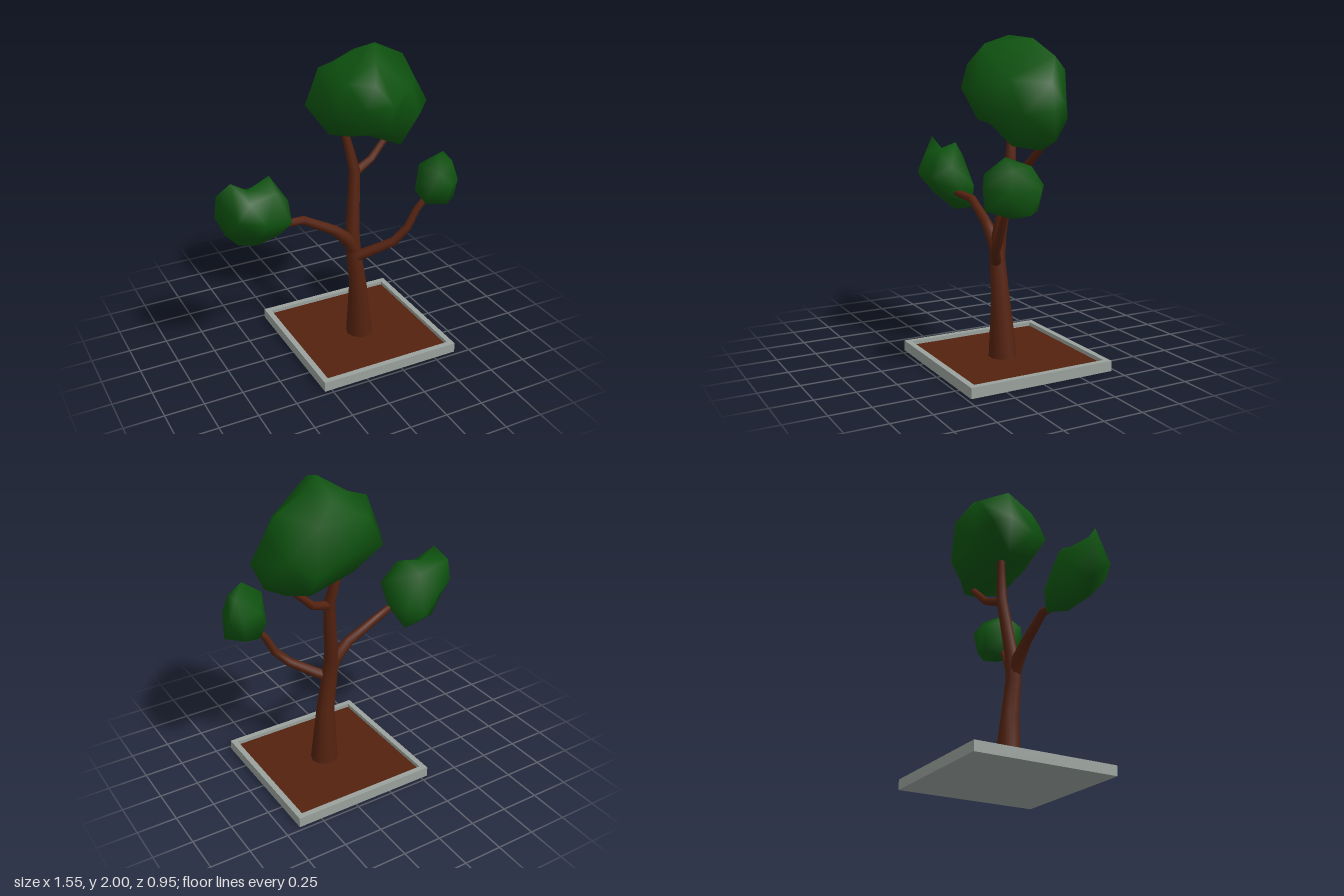
import * as THREE from 'three';
import { mergeVertices } from 'three/addons/utils/BufferGeometryUtils.js';
import { ConvexGeometry } from 'three/addons/geometries/ConvexGeometry.js';

const mat = (name, color) => new THREE.MeshStandardMaterial({ name, color });
const V = (p) => new THREE.Vector3(p[0], p[1], p[2]);

// Tapered limb through points [x, y, z, radius]
function limbGeometry(points, sides = 10) {
  const pos = [], index = [];
  const c = points.map(V);
  points.forEach((p, i) => {
    const t = c[Math.min(i + 1, c.length - 1)].clone().sub(c[Math.max(i - 1, 0)]).normalize();
    if (i === 0 && p[1] < 0.1) t.set(0, 1, 0);
    const u = new THREE.Vector3(0, 0, 1).cross(t).normalize();
    const v = t.clone().cross(u);
    for (let j = 0; j < sides; j++) {
      const a = (j / sides) * Math.PI * 2;
      const q = c[i].clone().addScaledVector(u, p[3] * Math.cos(a)).addScaledVector(v, p[3] * Math.sin(a));
      pos.push(q.x, q.y, q.z);
      if (i === points.length - 1) continue;
      const k = (j + 1) % sides, A = i * sides + j, B = i * sides + k;
      index.push(A, B, A + sides, B, B + sides, A + sides);
    }
  });
  // Tip cap
  const last = (points.length - 1) * sides;
  for (let j = 1; j < sides - 1; j++) index.push(last, last + j, last + j + 1);
  const g = new THREE.BufferGeometry();
  g.setAttribute('position', new THREE.Float32BufferAttribute(pos, 3));
  g.setIndex(index);
  g.computeVertexNormals();
  return g;
}

// Lumpy crown: join guide points around a centre, then push each to its own distance
function crownGeometry(centre, points) {
  const o = V(centre);
  const guides = points.map((p) => V(p));
  const dirs = guides.map((p) => p.clone().sub(o).normalize());
  let g = new ConvexGeometry(dirs);
  g.deleteAttribute('normal');
  const pos = g.attributes.position, q = new THREE.Vector3();
  for (let i = 0; i < pos.count; i++) {
    q.fromBufferAttribute(pos, i);
    let best = 0;
    dirs.forEach((d, k) => { if (d.dot(q) > dirs[best].dot(q)) best = k; });
    pos.setXYZ(i, ...guides[best].toArray());
  }
  g = mergeVertices(g);
  g.computeVertexNormals();
  return g;
}

export function createModel() {
  const group = new THREE.Group();
  const stone = mat('stone grey', 0x9aa29d);
  const bark = mat('bark brown', 0x54220f);
  const leaf = mat('leaf green', 0x0e520f);
  const add = (name, geometry, material) => {
    const m = new THREE.Mesh(geometry, material);
    m.name = name;
    group.add(m);
    return m;
  };

  // Square planter: floor, four rim walls, soil
  const cx = 0.178, half = 0.474, wall = 0.037, h = 0.065;
  add('planterFloor', new THREE.BoxGeometry(half * 2, 0.01, half * 2), stone).position.set(cx, 0.005, 0);
  for (const s of [-1, 1]) {
    add('rimSide', new THREE.BoxGeometry(wall, h, half * 2), stone).position.set(cx + s * (half - wall / 2), h / 2, 0);
    add('rimEnd', new THREE.BoxGeometry((half - wall) * 2, h, wall), stone).position.set(cx, h / 2, s * (half - wall / 2));
  }
  const soil = (half - wall) * 2;
  add('soil', new THREE.BoxGeometry(soil, 0.03, soil), bark).position.set(cx, 0.025, 0);

  // Trunk and branches
  const limbs = {
    trunk: [[0.188, 0.03, 0.018, 0.09], [0.168, 0.42, 0.025, 0.057], [0.133, 0.65, 0.028, 0.05],
      [0.13, 0.8, 0.012, 0.045], [0.17, 1.2, -0.04, 0.036], [0.125, 1.42, -0.075, 0.026], [0.11, 1.55, -0.08, 0.022]],
    leftBranch: [[0.14, 0.66, 0.028, 0.045], [0.09, 0.76, 0.03, 0.043], [-0.01, 0.85, 0.03, 0.033],
      [-0.22, 0.965, 0.02, 0.027], [-0.33, 0.985, 0.055, 0.023], [-0.42, 1.0, 0.07, 0.02]],
    rightBranch: [[0.12, 0.62, 0.03, 0.036], [0.2, 0.66, 0.075, 0.034], [0.35, 0.745, 0.16, 0.029],
      [0.44, 0.84, 0.18, 0.026], [0.495, 0.95, 0.185, 0.023], [0.57, 1.05, 0.2, 0.02]],
    upperFork: [[0.165, 1.18, -0.035, 0.03], [0.22, 1.2, -0.055, 0.028], [0.31, 1.235, -0.08, 0.025],
      [0.44, 1.365, -0.105, 0.021], [0.48, 1.42, -0.1, 0.019]],
  };
  for (const [name, points] of Object.entries(limbs)) add(name, limbGeometry(points), bark);

  // Leaf crowns
  add('topCrown', crownGeometry([0.28, 1.66, -0.02], [
    [-0.12, 1.64, -0.14], [-0.04, 1.87, -0.12], [0.08, 1.91, -0.1], [0.22, 2.0, 0.0],
    [0.33, 1.98, -0.1], [0.54, 1.88, -0.12], [0.6, 1.73, -0.06], [0.68, 1.58, -0.04],
    [0.62, 1.42, -0.08], [0.48, 1.34, -0.07], [0.24, 1.43, 0.0], [0.01, 1.45, -0.08],
    [-0.07, 1.6, -0.25], [0.05, 1.8, -0.29], [0.15, 1.6, -0.28], [0.4, 1.51, -0.3],
    [0.38, 1.8, -0.29], [0.53, 1.6, -0.2], [0.55, 1.55, 0.09], [0.27, 1.69, 0.255],
    [0.09, 1.69, 0.25], [-0.05, 1.62, 0.07], [0.2, 1.95, 0.15], [0.15, 1.83, 0.24],
    [0.28, 1.53, 0.2], [0.42, 1.37, 0.09], [0.4, 1.38, -0.22], [0.25, 1.92, -0.22],
    [0.45, 1.75, 0.13], [0.05, 1.5, 0.12], [0.03, 1.82, 0.1], [0.1, 1.45, -0.2],
  ]), leaf);
  add('leftCrown', crownGeometry([-0.55, 1.08, 0.06], [
    [-0.77, 1.24, 0.02], [-0.7, 1.33, 0.08], [-0.59, 1.26, 0.06], [-0.44, 1.31, 0.03],
    [-0.35, 1.16, 0.1], [-0.325, 1.0, 0.05], [-0.38, 0.88, -0.06], [-0.52, 0.85, 0.0],
    [-0.64, 0.88, 0.0], [-0.73, 0.98, 0.03], [-0.78, 1.1, 0.0], [-0.65, 1.05, -0.05],
    [-0.5, 0.95, -0.11], [-0.39, 1.02, -0.08], [-0.39, 1.08, 0.24], [-0.55, 1.1, 0.25],
    [-0.7, 1.12, 0.18], [-0.76, 1.1, 0.08], [-0.5, 1.22, -0.05], [-0.62, 1.22, 0.17],
    [-0.45, 1.25, 0.15], [-0.55, 0.97, 0.14], [-0.42, 0.95, 0.11],
  ]), leaf);
  add('rightCrown', crownGeometry([0.62, 1.15, 0.2], [
    [0.475, 1.14, 0.24], [0.5, 1.26, 0.2], [0.61, 1.335, 0.24], [0.71, 1.29, 0.13],
    [0.77, 1.16, 0.1], [0.775, 1.03, 0.17], [0.68, 1.0, 0.22], [0.55, 0.985, 0.2],
    [0.5, 1.07, 0.15], [0.58, 1.2, 0.06], [0.7, 1.18, 0.045], [0.68, 1.03, 0.07],
    [0.73, 1.15, 0.28], [0.62, 1.17, 0.385], [0.6, 1.04, 0.36], [0.55, 1.24, 0.34],
    [0.5, 1.05, 0.27], [0.7, 1.27, 0.25], [0.58, 1.02, 0.08], [0.71, 1.03, 0.27],
  ]), leaf);
  return group;
}
